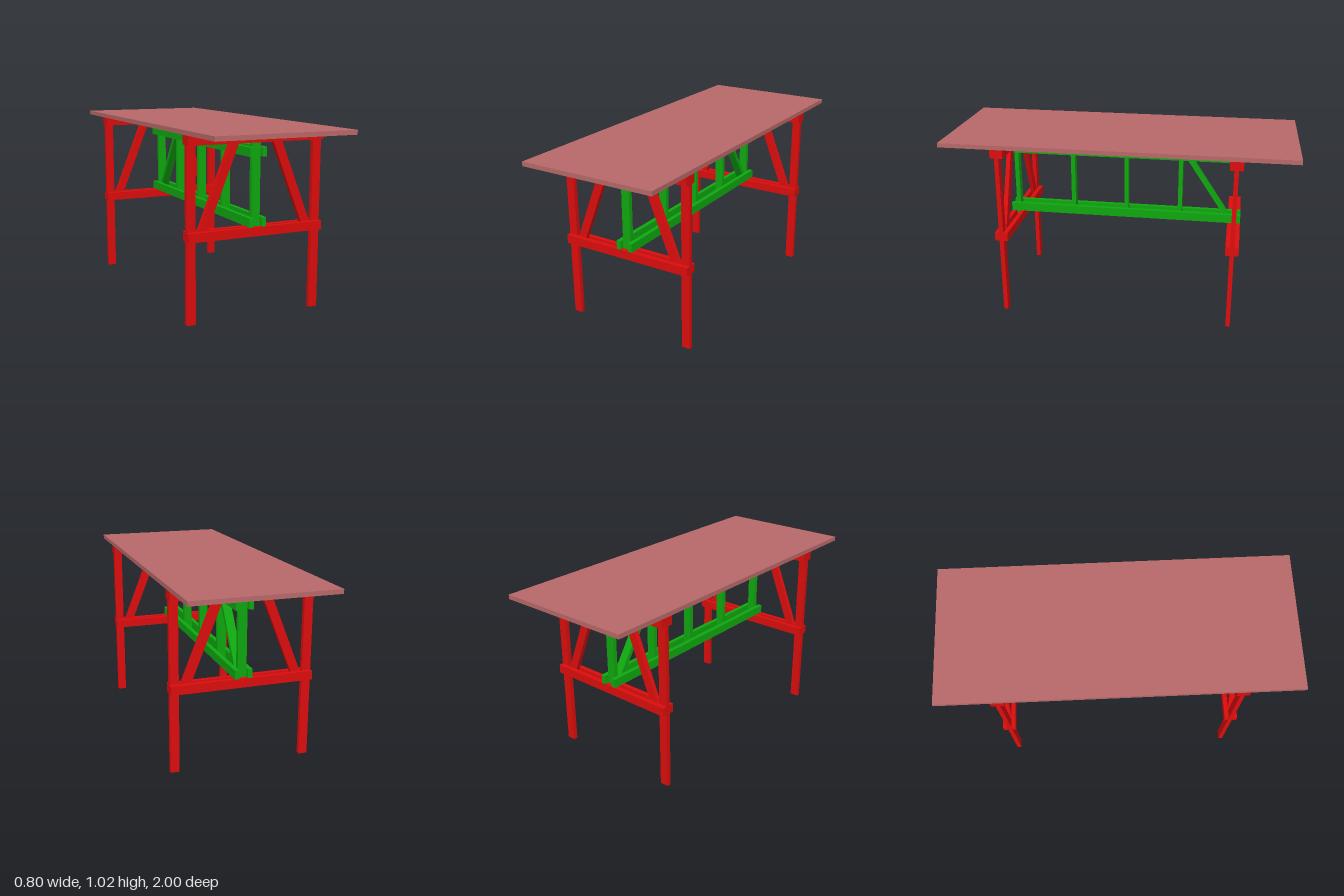
import * as THREE from 'three';

const T = 0.025; // board thickness
const W = 0.05; // board width
const FRAME_Z = 0.6625; // centre plane of each trestle

const red = new THREE.MeshStandardMaterial({ color: 0xdd0d0d });
const green = new THREE.MeshStandardMaterial({ color: 0x0fa80f });
const rose = new THREE.MeshStandardMaterial({ color: 0xb86969 });

// Axis-aligned board given by its size and centre
function board(parent, name, material, size, centre) {
  const mesh = new THREE.Mesh(new THREE.BoxGeometry(...size), material);
  mesh.name = name;
  mesh.position.set(...centre);
  parent.add(mesh);
  return mesh;
}

// Slanted board with level ends, leaning in its local xy plane
function slantedBoard(parent, name, material, bottom, top, width, depth) {
  const [x0, y0] = bottom, [x1, y1] = top;
  const h = width / 2 * Math.hypot(x1 - x0, y1 - y0) / (y1 - y0);
  const shape = new THREE.Shape([
    new THREE.Vector2(x0 - h, y0), new THREE.Vector2(x0 + h, y0),
    new THREE.Vector2(x1 + h, y1), new THREE.Vector2(x1 - h, y1),
  ]);
  const geometry = new THREE.ExtrudeGeometry(shape, { depth, bevelEnabled: false });
  geometry.translate(0, 0, -depth / 2);
  const mesh = new THREE.Mesh(geometry, material);
  mesh.name = name;
  parent.add(mesh);
  return mesh;
}

// Trestle: legs and braces clamped between pairs of cross rails
function trestle(name, z) {
  const group = new THREE.Group();
  group.name = name;
  group.position.z = z;
  for (const s of [-1, 1]) {
    const side = s > 0 ? 'left' : 'right';
    board(group, side + 'Leg', red, [W, 1, T], [s * 0.375, 0.5, 0]);
    slantedBoard(group, side + 'Brace', red, [s * 0.329, 0.45], [s * 0.109, 1], W, T);
    const face = s > 0 ? 'front' : 'back';
    board(group, face + 'UpperRail', red, [0.8, W, T], [0, 0.975, s * T]);
    board(group, face + 'LowerRail', red, [0.8, W, T], [0, 0.475, s * T]);
  }
  board(group, 'centrePost', green, [W, 0.55, T], [0, 0.725, 0]);
  return group;
}

// Long truss joining the trestles
function truss() {
  const group = new THREE.Group();
  group.name = 'truss';
  for (const s of [-1, 1]) {
    const side = s > 0 ? 'left' : 'right';
    board(group, side + 'UpperBeam', green, [T, W, 1.4], [s * 0.0375, 0.9, 0]);
    board(group, side + 'LowerBeam', green, [T, W, 1.4], [s * 0.0375, 0.525, 0]);
  }
  for (const z of [0.3125, -0.0125, -0.3375]) {
    board(group, 'upright', green, [W, 0.425, T], [0, 0.7125, z]);
  }
  // The single diagonal leans along z, so its local x is turned to -z
  const diagonal = slantedBoard(group, 'diagonal', green, [0.64, 0.5], [0.357, 0.925], T, W);
  diagonal.rotation.y = Math.PI / 2;
  return group;
}

export function createModel() {
  const model = new THREE.Group();
  model.name = 'trestleTable';
  board(model, 'tableTop', rose, [0.8, T, 2], [0, 1 + T / 2, 0]);
  model.add(trestle('frontTrestle', FRAME_Z), trestle('backTrestle', -FRAME_Z), truss());
  return model;
}
